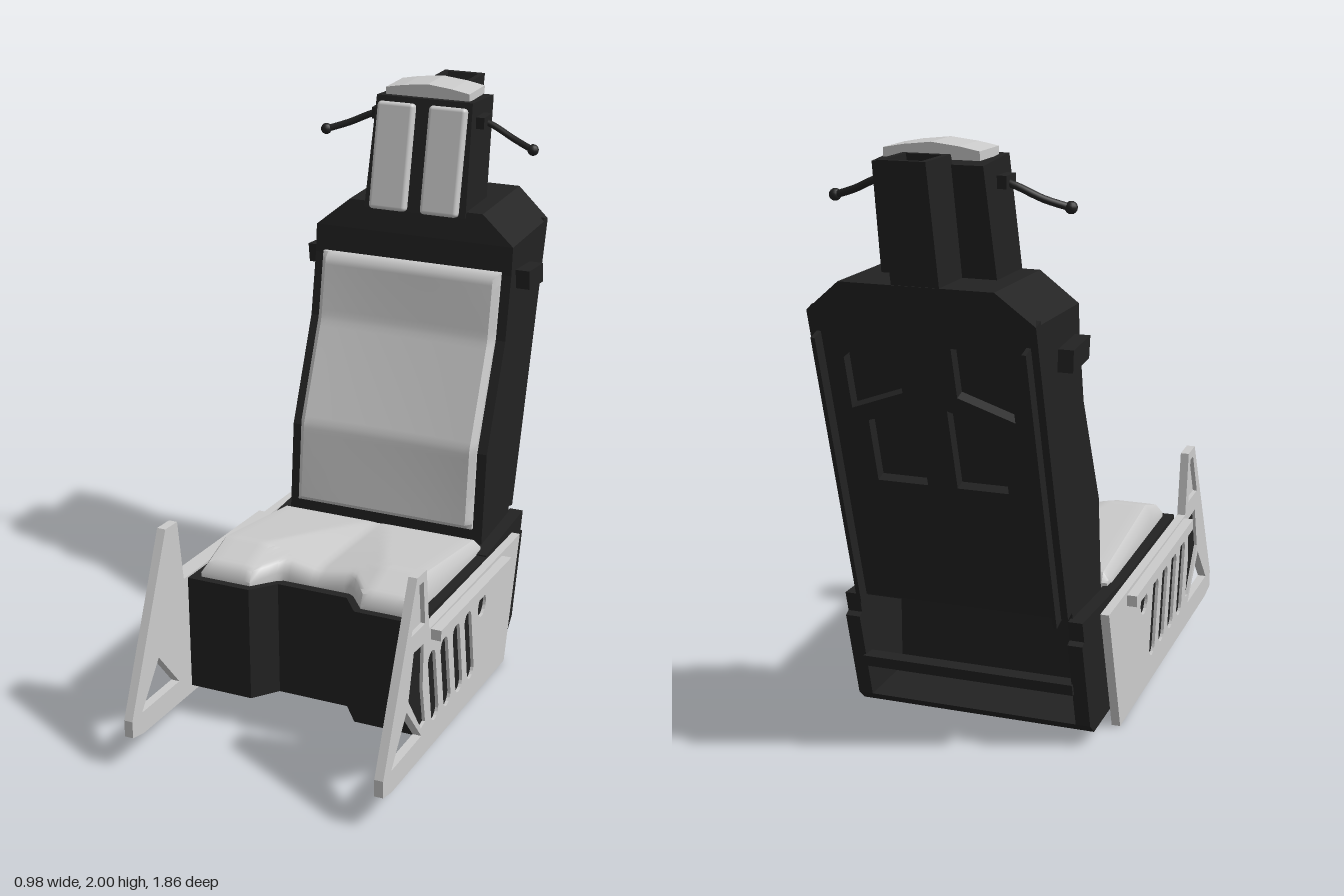
import * as THREE from 'three';
import { mergeVertices, toCreasedNormals } from 'three/addons/utils/BufferGeometryUtils.js';
import { RoundedBoxGeometry } from 'three/addons/geometries/RoundedBoxGeometry.js';

const grey = new THREE.MeshStandardMaterial({ color: 0xcccccc });
const dark = new THREE.MeshStandardMaterial({ color: 0x222222 });
const clamp = THREE.MathUtils.clamp;

function add(parent, geo, name, mat = dark) {
  const m = new THREE.Mesh(geo, mat);
  m.name = name;
  parent.add(m);
  return m;
}
const toPoints = (pts) => pts.map(([a, b]) => new THREE.Vector2(a, b));

// Prism from a side outline given as (z, y), spanning x0..x1
function sidePrism(outline, x0, x1, holes = []) {
  const s = new THREE.Shape(toPoints(outline));
  s.holes = holes.map((h) => new THREE.Path(toPoints(h)));
  return new THREE.ExtrudeGeometry(s, { depth: x1 - x0, bevelEnabled: false })
    .rotateY(-Math.PI / 2).translate(x1, 0, 0);
}
// The same span on both sides of the seat
function bothSides(parent, name, outline, x0, x1, mat, holes) {
  add(parent, sidePrism(outline, x0, x1, holes), 'left' + name, mat);
  add(parent, sidePrism(outline, -x1, -x0, holes), 'right' + name, mat);
}
// Piecewise linear lookup in [key, value] pairs with rising keys
function sample(table, k) {
  let i = 1;
  while (i < table.length - 1 && k > table[i][0]) i++;
  const [a, b] = [table[i - 1], table[i]];
  return a[1] + (b[1] - a[1]) * clamp((k - a[0]) / (b[0] - a[0]), 0, 1);
}
// Smooth cushion: a grid box whose vertices are placed by a rule of (u, v, t)
function cushion(nx, ny, place) {
  let g = new THREE.BoxGeometry(2, 2, 1, nx, ny, 1);
  const p = g.attributes.position;
  for (let i = 0; i < p.count; i++) p.setXYZ(i, ...place(p.getX(i), p.getY(i), p.getZ(i) + 0.5));
  g.deleteAttribute('uv');
  g.deleteAttribute('normal');
  g = mergeVertices(g, 1e-5);
  return toCreasedNormals(g, 0.75);
}
// How far a rounded border falls at distance d from the edge
const roundOff = (d, r) => r * (1 - Math.sqrt(1 - (1 - clamp(d / r, 0, 1)) ** 2));

// Round-ended slot between two centres
function slot(a, b, r) {
  const ang = Math.atan2(a[1] - b[1], a[0] - b[0]);
  const pts = [];
  for (let i = 0; i <= 8; i++) pts.push([a, ang - Math.PI / 2 + (i * Math.PI) / 8]);
  for (let i = 0; i <= 8; i++) pts.push([b, ang + Math.PI / 2 + (i * Math.PI) / 8]);
  return pts.map(([c, t]) => [c[0] + r * Math.cos(t), c[1] + r * Math.sin(t)]);
}

function sidePlates(g) {
  const outline = [[0.93, 0.18], [0.93, 0.12], [0.86, 0.1], [-0.21, 0.005], [-0.35, 0.45],
    [0.55, 0.52], [0.58, 0.745], [0.66, 0.753]];
  const triangle = [[0.74, 0.32], [0.61, 0.16], [0.865, 0.18]];
  const hornPanel = [[0.64, 0.72], [0.605, 0.715], [0.588, 0.56], [0.705, 0.57]];
  const insets = [[[0.683, 0.503], [0.598, 0.492], [0.603, 0.333], [0.577, 0.196], [0.614, 0.19], [0.725, 0.35]]];
  for (let i = 0; i < 4; i++) {
    const z = -i * 0.113, y = -i * 0.0095;
    insets.push(slot([0.524 + z, 0.395 + y], [0.49 + z, 0.188 + y], 0.033));
  }
  insets.push(slot([0.045, 0.356], [0.045, 0.355], 0.04));
  bothSides(g, 'PlateInner', outline, 0.425, 0.44, grey, [triangle]);
  bothSides(g, 'PlateOuter', outline, 0.44, 0.455, grey, [triangle, hornPanel, ...insets]);
  insets.forEach((s, i) => bothSides(g, 'PlateInset' + i, s, 0.436, 0.444, dark));
  const rail = [[0.535, 0.513], [-0.155, 0.453], [-0.155, 0.415], [0.535, 0.475]];
  bothSides(g, 'PlateRail', rail, 0.455, 0.49, grey);
}

function seatPan(g) {
  // Front block with a notch, its top and floor sloping down to the rear
  const half = [[0.415, -0.16], [0.415, 0.54], [0.19, 0.54], [0.125, 0.45]];
  const s = new THREE.Shape(toPoints([...half, ...half.map(([x, z]) => [-x, z]).reverse()]));
  const geo = new THREE.ExtrudeGeometry(s, { depth: 1, bevelEnabled: false }).rotateX(Math.PI / 2);
  const p = geo.attributes.position;
  for (let i = 0; i < p.count; i++) {
    const k = (0.54 - p.getZ(i)) / 0.7;
    p.setY(i, p.getY(i) > -0.5 ? 0.522 - 0.062 * k : 0.11 - 0.05 * k);
  }
  geo.computeVertexNormals();
  add(g, geo, 'seatPan');
  // Open rear bay
  bothSides(g, 'RearWall', [[-0.1, 0.47], [-0.1, 0.065], [-0.37, 0.045], [-0.41, 0.08],
    [-0.5, 0.39], [-0.48, 0.4], [-0.5, 0.47]], 0.365, 0.415, dark);
  add(g, sidePrism([[-0.1, 0.09], [-0.1, 0.065], [-0.37, 0.045], [-0.41, 0.08]], -0.37, 0.37), 'rearFloor');
  add(g, sidePrism([[-0.41, 0.24], [-0.425, 0.2], [-0.457, 0.2], [-0.469, 0.24]], -0.37, 0.37), 'rearBar');
  // Cushion with a front notch and a central hollow
  const top = [[-0.14, 0.51], [0.355, 0.607], [0.51, 0.565]];
  const front = [[0.13, 0.415], [0.2, 0.51]];
  add(g, cushion(38, 34, (u, v, t) => {
    const x = u * 0.38, ax = Math.abs(x), zf = sample(front, ax);
    const z = zf + (-0.14 - zf) * (v + 1) / 2;
    const base = 0.522 - 0.062 * (0.54 - z) / 0.7 - 0.005;
    if (t < 0.5) return [x, base, z];
    const k = clamp((z + 0.15) / 0.5, 0, 1);
    const dip = 0.045 * k * Math.max(0, 1 - ax / (0.02 + 0.2 * k));
    const edge = Math.min(0.38 - ax, zf - z, z + 0.14);
    return [x, Math.max(base + 0.012, sample(top, z) - dip - roundOff(edge, 0.03)), z];
  }), 'seatCushion', grey);
}

function backrest(g) {
  const frontLine = [[0.46, -0.175], [0.8, -0.21], [1.165, -0.375], [1.39, -0.42], [1.49, -0.43]];
  const body = [...frontLine.map(([y, z]) => [z, y]), [-0.773, 1.49], [-0.468, 0.48], [-0.468, 0.46]];
  add(g, sidePrism(body, -0.37, 0.37), 'backrestBody');
  // Shoulder narrowing up to the headrest
  const cap = sidePrism([[-0.43, 1.49], [-0.45, 1.59], [-0.842, 1.59], [-0.815, 1.49]], -0.37, 0.37);
  const p = cap.attributes.position;
  for (let i = 0; i < p.count; i++) if (p.getY(i) > 1.55) p.setX(i, Math.sign(p.getX(i)) * 0.25);
  cap.computeVertexNormals();
  add(g, cap, 'shoulderCap');

  // Rear panel with windows, leaning with the back
  const rear = new THREE.Group();
  rear.name = 'rearPanelGroup';
  rear.position.set(0, 0.48, -0.51);
  rear.rotation.x = -0.293;
  g.add(rear);
  const s = new THREE.Shape(toPoints([[-0.37, 0], [0.37, 0], [0.37, 1.055], [-0.37, 1.055]]));
  for (const m of [-1, 1]) {
    s.holes.push(new THREE.Path(toPoints([[m * 0.05, 0.46], [m * 0.22, 0.46], [m * 0.22, 0.68], [m * 0.05, 0.74]])));
    s.holes.push(new THREE.Path(toPoints([[m * 0.09, 0.79], [m * 0.27, 0.72], [m * 0.27, 0.9], [m * 0.2, 0.96], [m * 0.09, 0.96]])));
    add(rear, new THREE.BoxGeometry(0.014, 0.99, 0.06), 'rearRidge').position.set(m * 0.34, 0.49, -0.015);
  }
  add(rear, new THREE.ExtrudeGeometry(s, { depth: 0.042, bevelEnabled: false }), 'rearPanel');

  // Side boxes
  bothSides(g, 'SideBox', [[-0.465, 1.4], [-0.475, 1.33], [-0.625, 1.315], [-0.62, 1.385]], 0.36, 0.42, dark);

  // Back cushion following the bent front line
  const face = [[0.525, -0.147], [0.82, -0.18], [1.17, -0.34], [1.4, -0.385]];
  add(g, cushion(34, 44, (u, v, t) => {
    const x = u * 0.335, y = 0.9625 + v * 0.4375;
    const back = sample(frontLine, y) - 0.003;
    if (t < 0.5) return [x, y, back];
    const sag = 0.012 * (1 - u * u) * (1 - v * v);
    const edge = Math.min(0.335 - Math.abs(x), 1.4 - y, y - 0.525);
    return [x, y, Math.max(back + 0.008, sample(face, y) - sag - roundOff(edge, 0.022))];
  }), 'backCushion', grey);
}

function headrest(g) {
  const block = sidePrism([[-0.44, 1.57], [-0.525, 1.955], [-0.74, 1.94], [-0.655, 1.57]], -0.19, 0.19);
  const p = block.attributes.position;
  for (let i = 0; i < p.count; i++) if (p.getY(i) > 1.8) p.setX(i, Math.sign(p.getX(i)) * 0.178);
  block.computeVertexNormals();
  add(g, block, 'headrestBlock');
  for (const m of [-1, 1]) {
    const pad = add(g, new RoundedBoxGeometry(0.138, 0.375, 0.04, 3, 0.014), 'headPad', grey);
    pad.position.set(m * 0.096, 1.755, -0.47);
    pad.rotation.x = -0.222;
    // Handle arm with a knob
    const path = new THREE.CatmullRomCurve3([[0.16, 1.885, -0.6], [0.22, 1.87, -0.6], [0.31, 1.83, -0.585], [0.385, 1.805, -0.56]]
      .map(([x, y, z]) => new THREE.Vector3(m * x, y, z)));
    add(g, new THREE.TubeGeometry(path, 12, 0.012, 8), 'handleArm');
    add(g, new THREE.SphereGeometry(0.02, 12, 8), 'handleKnob').position.set(m * 0.388, 1.805, -0.56);
    add(g, new THREE.BoxGeometry(0.05, 0.04, 0.08), 'handleMount').position.set(m * 0.185, 1.88, -0.595);
  }
  // Peaked cap on top
  const capShape = new THREE.Shape(toPoints([[-0.155, 1.95], [0.155, 1.95], [0.155, 1.978], [0.09, 1.99], [0, 2], [-0.09, 1.99], [-0.155, 1.978]]));
  add(g, new THREE.ExtrudeGeometry(capShape, { depth: 0.155, bevelEnabled: false }).translate(0, 0, -0.708), 'topCap', grey);
  // Hollow rear column
  const tube = new THREE.Shape(toPoints([[-0.077, -0.095], [0.077, -0.095], [0.077, 0.095], [-0.077, 0.095]]));
  tube.holes.push(new THREE.Path(toPoints([[-0.058, -0.075], [0.058, -0.075], [0.058, 0.075], [-0.058, 0.075]])));
  const col = new THREE.ExtrudeGeometry(tube, { depth: 0.44, bevelEnabled: false }).rotateX(-Math.PI / 2);
  const c = col.attributes.position;
  for (let i = 0; i < c.count; i++) c.setXYZ(i, c.getX(i), c.getY(i) + 1.53, c.getZ(i) - 0.73 - c.getY(i) * 0.236);
  col.computeVertexNormals();
  add(g, col, 'rearColumn');
}

export function createModel() {
  const model = new THREE.Group();
  model.name = 'ejectionSeat';
  for (const [name, build] of Object.entries({ sidePlates, seatPan, backrest, headrest })) {
    const part = new THREE.Group();
    part.name = name;
    build(part);
    model.add(part);
  }
  return model;
}
